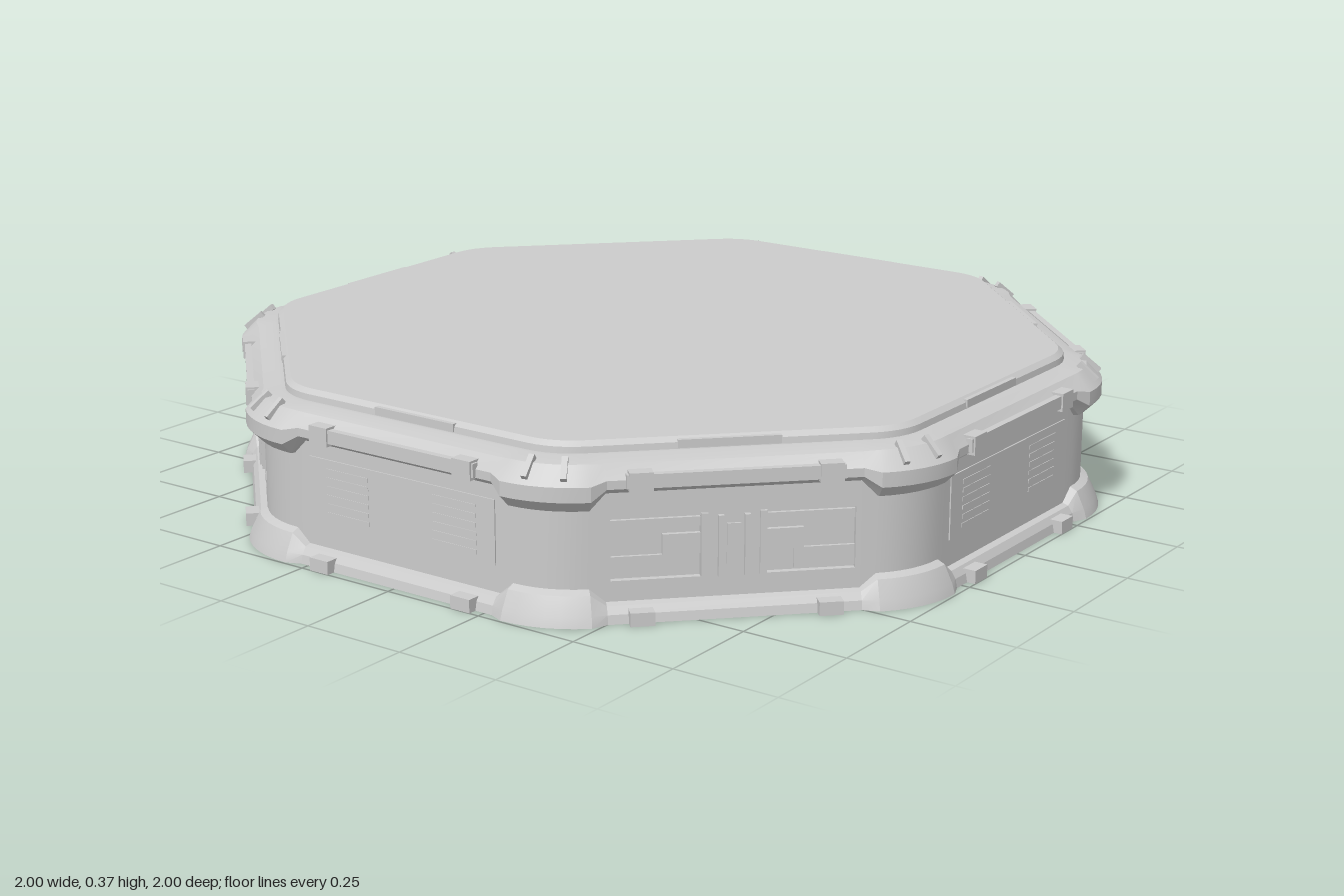
import * as THREE from 'three';
import { toCreasedNormals } from 'three/addons/utils/BufferGeometryUtils.js';

const mat = new THREE.MeshStandardMaterial({ color: 0xcccccc, side: THREE.DoubleSide });
const HALF = 0.305;                             // half length of each straight side
const CORE = HALF / Math.tan(Math.PI / 8);      // apothem of the corner centres
const ARC = 6;

// Stations round the octagon: straight side, then rounded corner.
// w is 1 at the corners and 0 along the middle of a side.
const stations = [];
for (let k = 0; k < 8; k++) {
  const f = k * Math.PI / 4;
  for (const [u, w] of [[-HALF, 1], [-0.27, 0], [0.27, 0], [HALF, 1]]) stations.push({ k, f, phi: f, u, w });
  for (let i = 1; i < ARC; i++) stations.push({ k, f, phi: f + i / ARC * Math.PI / 4, u: HALF, w: 1 });
}
const place = (s, a) => [
  Math.sin(s.f) * CORE + Math.cos(s.f) * s.u + Math.sin(s.phi) * (a - CORE),
  Math.cos(s.f) * CORE - Math.sin(s.f) * s.u + Math.cos(s.phi) * (a - CORE)
];

// Loft a band from two profiles [apothem, y], listed bottom to top.
function band(name, corner, middle = corner, skip = () => false) {
  const pos = [], idx = [], m = corner.length, n = stations.length;
  for (const s of stations) {
    corner.forEach((c, j) => {
      const a = THREE.MathUtils.lerp(middle[j][0], c[0], s.w);
      const [x, z] = place(s, a);
      pos.push(x, THREE.MathUtils.lerp(middle[j][1], c[1], s.w), z);
    });
  }
  for (let i = 0; i < n; i++) {
    if (skip(stations[i])) continue;
    const p = i * m, q = ((i + 1) % n) * m;
    for (let j = 0; j < m - 1; j++) idx.push(p + j, q + j, q + j + 1, p + j, q + j + 1, p + j + 1);
  }
  const g = new THREE.BufferGeometry();
  g.setAttribute('position', new THREE.Float32BufferAttribute(pos, 3));
  g.setIndex(idx);
  const mesh = new THREE.Mesh(toCreasedNormals(g, 0.3), mat);
  mesh.name = name;
  return mesh;
}

// Box given by its ranges across, up and outward.
function block(parent, name, [u0, u1], [y0, y1], [a0, a1]) {
  const mesh = new THREE.Mesh(new THREE.BoxGeometry(u1 - u0, y1 - y0, a1 - a0), mat);
  mesh.position.set((u0 + u1) / 2, (y0 + y1) / 2, (a0 + a1) / 2);
  mesh.name = name;
  parent.add(mesh);
  return mesh;
}

function rect(S, x0, x1, y0, y1) {
  const s = new S();
  s.moveTo(x0, y0); s.lineTo(x1, y0); s.lineTo(x1, y1); s.lineTo(x0, y1); s.closePath();
  return s;
}

// Diagonal side: wall plate with two pockets and a latch between them
function hatchSide(g) {
  const shape = rect(THREE.Shape, -0.27, 0.27, 0.03, 0.3);
  for (const x of [-0.26, 0.07]) shape.holes.push(rect(THREE.Path, x, x + 0.19, 0.085, 0.22));
  const plate = new THREE.Mesh(new THREE.ExtrudeGeometry(shape, { depth: 0.014, bevelEnabled: false }), mat);
  plate.position.z = 0.936;
  plate.name = 'hatchPlate';
  g.add(plate);
  for (const s of [-1, 1]) {
    const range = (a, b) => s > 0 ? [a, b] : [-b, -a];
    block(g, 'pocketBack', range(0.065, 0.265), [0.08, 0.225], [0.932, 0.936]);
    block(g, 'pocketLedge', range(0.07, 0.26), [0.195, 0.215], [0.936, 0.944]);
    block(g, 'pocketStep', range(0.13, 0.26), [0.09, 0.135], [0.936, 0.943]);
    block(g, 'pocketHandle', range(0.07, 0.15), [0.135, 0.18], [0.936, 0.946]);
    block(g, 'latchBar', range(0.022, 0.034), [0.085, 0.22], [0.95, 0.962]);
    block(g, 'latchBracket', range(0.055, 0.07), [0.085, 0.225], [0.95, 0.957]);
  }
  block(g, 'latchPlate', [-0.015, 0.015], [0.11, 0.2], [0.95, 0.955]);
}

// Axis side: flat panel with two shallow vents
function ventSide(g) {
  block(g, 'sidePanel', [-0.26, 0.26], [0.1, 0.245], [0.948, 0.953]);
  for (const x of [-0.15, 0.15]) {
    for (let i = 0; i < 6; i++) {
      const y = 0.115 + i * 0.02;
      block(g, 'ventSlat', [x - 0.06, x + 0.06], [y, y + 0.01], [0.952, 0.9545]);
    }
  }
}

export function createModel() {
  const model = new THREE.Group();
  model.name = 'platform';

  // Base skirt, wall and overhanging rim; skirt and rim are deeper at the corners
  model.add(band('baseSkirt',
    [[0.995, 0], [0.988, 0.022], [0.968, 0.062], [0.95, 0.07]],
    [[0.98, 0], [0.976, 0.02], [0.965, 0.036], [0.95, 0.04]]));
  model.add(band('wall', [[0.95, 0.03], [0.95, 0.3]], undefined, s => s.k % 2 === 1 && s.u === -0.27));
  model.add(band('rim',
    [[0.95, 0.243], [0.963, 0.245], [0.99, 0.272], [0.99, 0.305], [0.953, 0.343], [0.91, 0.35], [0.9, 0.35]],
    [[0.95, 0.278], [0.957, 0.28], [0.975, 0.293], [0.975, 0.312], [0.948, 0.34], [0.91, 0.35], [0.9, 0.35]]));
  model.add(band('topEdge', [[0.9, 0.35], [0.898, 0.364], [0.886, 0.374]]));

  // Flat top
  const outline = new THREE.Shape(stations.map(s => {
    const [x, z] = place(s, 0.886);
    return new THREE.Vector2(x, -z);
  }));
  const top = new THREE.Mesh(new THREE.ShapeGeometry(outline).rotateX(-Math.PI / 2), mat);
  top.position.y = 0.374;
  top.name = 'topDeck';
  model.add(top);

  for (let k = 0; k < 8; k++) {
    const side = new THREE.Group();
    side.name = k % 2 ? 'hatchSide' : 'ventSide';
    side.rotation.y = k * Math.PI / 4;
    (k % 2 ? hatchSide : ventSide)(side);

    // Rail on the rim, trim strip by the deck and feet under the skirt
    block(side, 'rimRail', [-0.23, 0.23], [0.295, 0.325], [0.968, 0.984]);
    block(side, 'trimStrip', [-0.11, 0.11], [0.352, 0.37], [0.885, 0.902]);
    for (const x of [-0.2, 0.2]) {
      block(side, 'railEnd', [x - 0.025, x + 0.025], [0.288, 0.33], [0.95, 0.988]);
      block(side, 'foot', [x - 0.026, x + 0.026], [0, 0.03], [0.955, 1]);
    }
    model.add(side);

    // Two sloping ribs on each rim corner
    for (const d of [-0.17, 0.17]) {
      const f = k * Math.PI / 4, phi = f + Math.PI / 8 + d;
      const [x, z] = place({ f, phi, u: HALF }, 0.962);
      const rib = new THREE.Mesh(new THREE.BoxGeometry(0.013, 0.014, 0.055), mat);
      rib.position.set(x, 0.336, z);
      rib.rotation.set(0.7, phi, 0, 'YXZ');
      rib.name = 'cornerRib';
      model.add(rib);
    }
  }
  return model;
}
